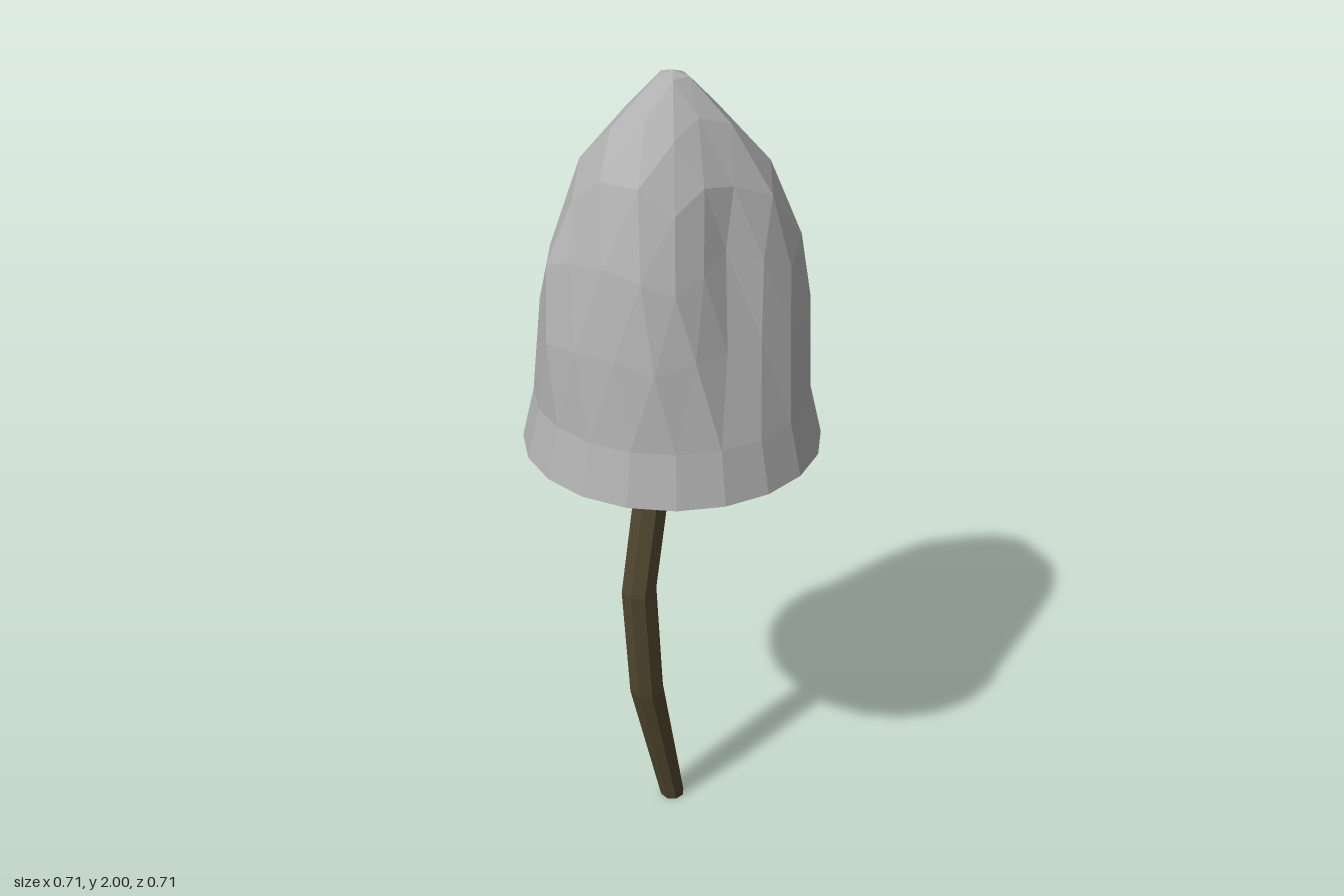
import * as THREE from 'three';

const capGrey = new THREE.MeshStandardMaterial({ name: 'capGrey', color: 0xb0b0b0, side: THREE.DoubleSide });
const stemBrown = new THREE.MeshStandardMaterial({ name: 'stemBrown', color: 0x50462f });

const CEILING = 1.245, RIM = 1.12, RADIUS = 0.325;

// Linear lookup in a table of [key, ...values] rows with rising keys
function lookup(rows, k) {
  let i = 1;
  while (i < rows.length - 1 && k > rows[i][0]) i++;
  const a = rows[i - 1], b = rows[i];
  const t = THREE.MathUtils.clamp((k - a[0]) / (b[0] - a[0]), 0, 1);
  return a.slice(1).map((v, j) => v + (b[j + 1] - v) * t);
}

function facet(geometry) {
  const g = geometry.index ? geometry.toNonIndexed() : geometry;
  g.computeVertexNormals();
  return g;
}

function named(name, geometry, material) {
  const mesh = new THREE.Mesh(geometry, material);
  mesh.name = name;
  return mesh;
}

// Cap outline: unit height, relative radius
const capProfile = [[0, 1], [0.25, 0.955], [0.447, 0.88], [0.68, 0.69], [0.85, 0.42], [0.954, 0.17], [1, 0]];

// Dents and bulges: direction on the dome, spread, radial offset
const dents = [
  [new THREE.Vector3(0.22, 0.5, 0.85).normalize(), 0.42, -0.075],
  [new THREE.Vector3(0.66, 0.45, -0.6).normalize(), 0.5, 0.035],
  [new THREE.Vector3(0.88, 0.5, 0.05).normalize(), 0.35, 0.02],
];

// Upper half of an icosphere, reshaped into a lumpy bell
function domeGeometry() {
  const ball = new THREE.IcosahedronGeometry(1, 3);
  ball.rotateZ(Math.atan2(1, (1 + Math.sqrt(5)) / 2));
  const src = ball.attributes.position, out = [];
  const p = new THREE.Vector3();
  for (let i = 0; i < src.count; i += 3) {
    if (src.getY(i) + src.getY(i + 1) + src.getY(i + 2) < 0.01) continue;
    for (let k = 0; k < 3; k++) {
      p.fromBufferAttribute(src, i + k);
      const s = Math.max(0, p.y), flat = Math.hypot(p.x, p.z) || 1;
      let r = lookup(capProfile, s)[0] * RADIUS, y = CEILING + s * (2 - CEILING);
      if (s > 0.01 && s < 0.999) {
        for (const [dir, spread, amount] of dents) {
          r += amount * Math.exp(-p.distanceToSquared(dir) / (spread * spread));
        }
        // small unevenness
        const fade = Math.min(1, (1 - s) * 4);
        r += 0.008 * fade * Math.sin(p.x * 9 + p.y * 13 + 1) * Math.cos(p.z * 11 - p.y * 7);
        y += 0.012 * fade * Math.sin(p.x * 12 - p.z * 10);
        if (s > 0.9) y += 0.012;
      }
      out.push(p.x / flat * r, y, p.z / flat * r);
    }
  }
  const g = new THREE.BufferGeometry();
  g.setAttribute('position', new THREE.Float32BufferAttribute(out, 3));
  return facet(g);
}

// Stem stations: y, x, z, radius
const stemPath = [
  [0, 0, 0, 0.032],
  [0.41, -0.085, 0.043, 0.044],
  [0.72, -0.103, 0.045, 0.045],
  [1.26, -0.022, 0.012, 0.045],
];

function stemGeometry() {
  const g = new THREE.CylinderGeometry(1, 1, 3, 8, 3);
  const pos = g.attributes.position;
  for (let i = 0; i < pos.count; i++) {
    const [y, x, z, r] = stemPath[Math.round(pos.getY(i) + 1.5)];
    pos.setXYZ(i, x + pos.getX(i) * r, y, z + pos.getZ(i) * r);
  }
  return facet(g);
}

export function createModel() {
  const model = new THREE.Group();
  model.name = 'mushroom';

  const cap = new THREE.Group();
  cap.name = 'cap';
  cap.add(named('dome', domeGeometry(), capGrey));

  // Flared open skirt below the dome
  const skirt = new THREE.CylinderGeometry(RADIUS, 0.355, CEILING - RIM, 20, 1, true);
  skirt.translate(0, (CEILING + RIM) / 2, 0);
  cap.add(named('skirt', facet(skirt), capGrey));

  // Flat underside closing the dome
  const underside = new THREE.CircleGeometry(RADIUS, 20);
  underside.rotateX(Math.PI / 2).translate(0, CEILING, 0);
  cap.add(named('underside', underside, capGrey));

  model.add(cap, named('stem', stemGeometry(), stemBrown));
  return model;
}
